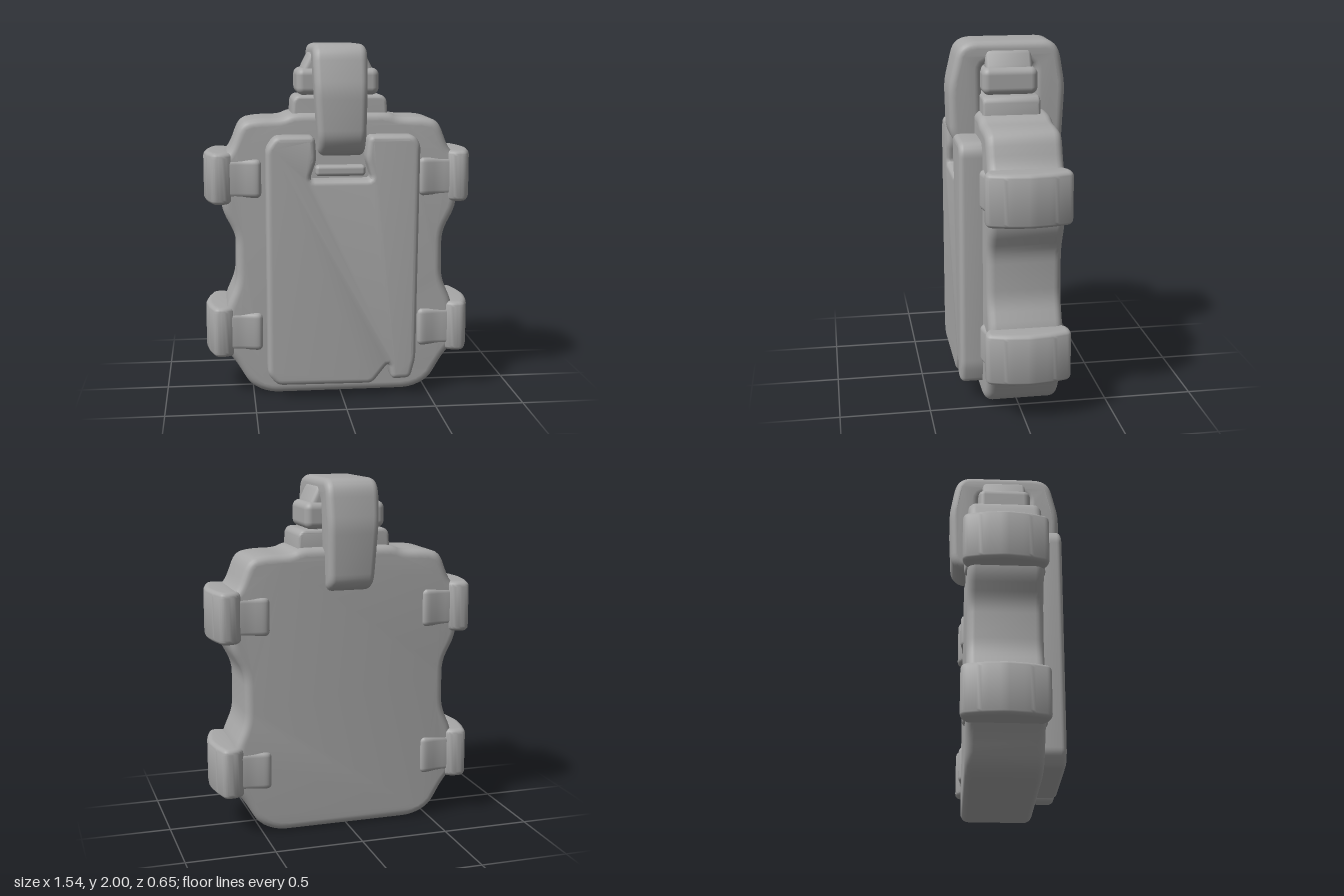
import * as THREE from 'three';
import { toCreasedNormals } from 'three/addons/utils/BufferGeometryUtils.js';
import { RoundedBoxGeometry } from 'three/addons/geometries/RoundedBoxGeometry.js';

// Closed outline with every corner softened by radius r
function softShape(points, r) {
  const shape = new THREE.Shape();
  const p = points.map(([x, y]) => new THREE.Vector2(x, y));
  p.forEach((c, i) => {
    const before = p[(i + p.length - 1) % p.length], after = p[(i + 1) % p.length];
    const near = (q) => {
      const d = q.clone().sub(c);
      return c.clone().addScaledVector(d, Math.min(r / d.length(), 0.45));
    };
    const a = near(before), b = near(after);
    if (i === 0) shape.moveTo(a.x, a.y); else shape.lineTo(a.x, a.y);
    shape.quadraticCurveTo(c.x, c.y, b.x, b.y);
  });
  shape.closePath();
  return shape;
}

// Extruded outline with rounded edges, spanning from..to along local z
function softSlab(points, from, to, bevel, r = bevel) {
  const g = new THREE.ExtrudeGeometry(softShape(points, r), {
    depth: to - from - 2 * bevel, bevelEnabled: true, bevelThickness: bevel,
    bevelSize: bevel, bevelOffset: -bevel, bevelSegments: 5, curveSegments: 4,
  });
  return g.translate(0, 0, from + bevel);
}

// Right half outline, bottom to top, completed by its mirror image
const mirrored = (half) => [...half, ...half.map(([x, y]) => [-x, y]).reverse()];

export function createModel() {
  const model = new THREE.Group();
  const grey = new THREE.MeshStandardMaterial({ color: 0xa8a8a8 });
  grey.name = 'matte grey';
  const add = (name, geometry, crease = 0.5) => {
    const mesh = new THREE.Mesh(crease ? toCreasedNormals(geometry, crease) : geometry, grey);
    mesh.name = name;
    model.add(mesh);
    return mesh;
  };

  // Waisted pack body
  add('body', softSlab(mirrored([
    [0.41, 0], [0.52, 0.05], [0.6, 0.19], [0.66, 0.26], [0.66, 0.5], [0.59, 0.66],
    [0.59, 0.93], [0.67, 1.08], [0.68, 1.36], [0.62, 1.41], [0.56, 1.57], [0.47, 1.59],
    [0.33, 1.59], [0.27, 1.62],
  ]), -0.22, 0.19, 0.045, 0.06));

  // Stepped neck, knob and shoulder beneath the strap
  add('neck', softSlab(mirrored([[0.3, 1.5], [0.27, 1.6], [0.265, 1.69], [0.24, 1.715]]),
    -0.16, 0.16, 0.02, 0.02));
  add('core', new RoundedBoxGeometry(0.38, 0.3, 0.26, 4, 0.03).translate(-0.01, 1.68, 0), 0);
  add('knob', new RoundedBoxGeometry(0.465, 0.15, 0.31, 5, 0.04).translate(-0.01, 1.79, 0), 0);
  add('shoulder', softSlab([[0.2, 1.8], [0.195, 1.85], [0.14, 1.96], [-0.16, 1.96], [-0.215, 1.85], [-0.22, 1.8]],
    -0.13, 0.13, 0.03, 0.03));

  // Strap looping over the neck, narrowing toward its ends and top
  const strap = softSlab([
    [0.33, 1.75], [0.325, 1.48], [0.26, 1.385], [0.14, 1.38], [0.15, 1.88], [-0.15, 1.88],
    [-0.14, 1.38], [-0.25, 1.38], [-0.31, 1.43], [-0.325, 1.75], [-0.29, 1.95], [-0.24, 2],
    [0.22, 2], [0.28, 1.96],
  ], -0.15, 0.15, 0.04, 0.05).rotateY(-Math.PI / 2);
  const pos = strap.attributes.position;
  for (let i = 0; i < pos.count; i++) {
    const low = THREE.MathUtils.clamp((1.85 - pos.getY(i)) / 0.47, 0, 1);
    pos.setX(i, pos.getX(i) * (1 - 0.14 * low) - 0.01 * (1 - low));
  }
  add('strap', strap);

  // Front panel with a flared slot at the top and a torn nick at the lower corner
  add('frontPanel', softSlab([
    [-0.425, 0.15], [-0.37, 0.085], [0.17, 0.08], [0.265, 0.2], [0.28, 0.1], [0.39, 0.105],
    [0.42, 0.22], [0.435, 1.45], [0.4, 1.5], [0.145, 1.5], [0.13, 1.37], [0.165, 1.255],
    [-0.185, 1.255], [-0.145, 1.37], [-0.155, 1.5], [-0.375, 1.5], [-0.425, 1.43],
  ], 0.12, 0.315, 0.03, 0.03));
  add('slotBar', new RoundedBoxGeometry(0.28, 0.06, 0.1, 3, 0.02).translate(-0.005, 1.3, 0.2), 0);

  // Four side clamps: inner grip and bowed outer bar
  for (const [sideName, s] of [['left', 1], ['right', -1]]) {
    for (const [level, y] of [['lower', 0.375], ['upper', 1.255]]) {
      const grip = [[0.445, -0.22], [0.47, -0.24], [0.56, -0.225], [0.7, -0.225],
        [0.7, 0.195], [0.56, 0.195], [0.47, 0.215], [0.445, 0.2]];
      const bar = [[0.6, -0.215], [0.65, -0.25], [0.725, -0.25], [0.755, -0.14], [0.77, -0.02],
        [0.755, 0.1], [0.72, 0.215], [0.65, 0.215], [0.6, 0.18]];
      const build = (pts, h, bevel) =>
        softSlab(pts.map(([x, z]) => [s * x, z]), -h, h, bevel, 0.03)
          .rotateX(Math.PI / 2).translate(0, y, 0);
      add(`${sideName}${level}ClampGrip`, build(grip, 0.11, 0.03));
      add(`${sideName}${level}ClampBar`, build(bar, 0.145, 0.03));
    }
  }
  return model;
}
